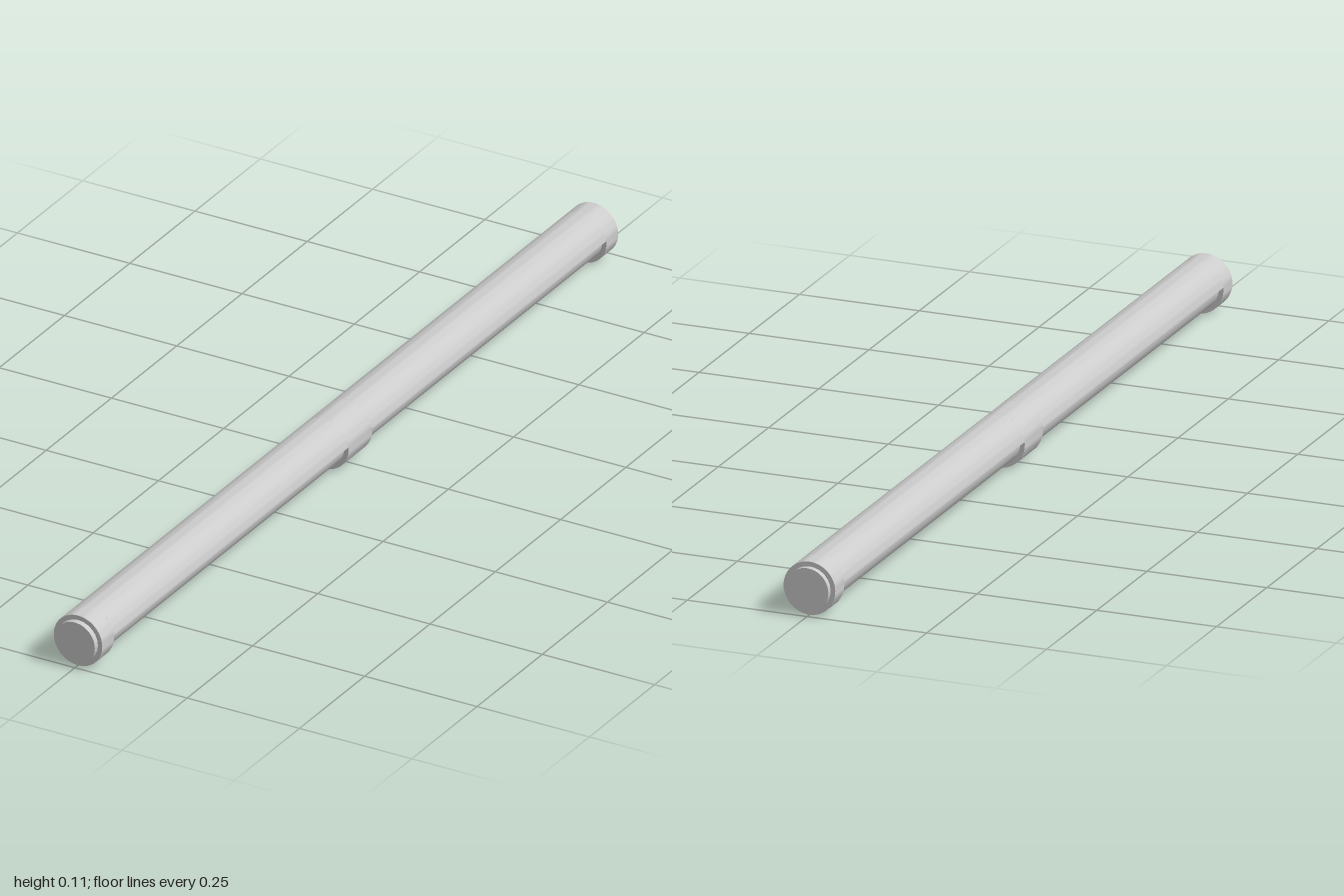
import * as THREE from 'three';
import { toCreasedNormals } from 'three/addons/utils/BufferGeometryUtils.js';

const R = 0.054;        // outer shell radius
const SHELL_IN = 0.049; // inner radius of the open shell
const TUBE = 0.0445;    // inner tube radius
const CY = 0.0545;      // height of the axis
const CUT = 0.005;      // cut edge above the axis

export function createModel() {
  const model = new THREE.Group();
  const material = new THREE.MeshStandardMaterial({ color: 0xcccccc });

  const add = (name, geometry, z) => {
    const mesh = new THREE.Mesh(geometry, material);
    mesh.name = name;
    mesh.position.set(0, CY, z);
    model.add(mesh);
  };
  const extrude = (shape, depth, curveSegments) => toCreasedNormals(
    new THREE.ExtrudeGeometry(shape, { depth, curveSegments, bevelEnabled: false }), 0.6);

  // Inner tube, protruding slightly at both ends
  const tube = new THREE.CylinderGeometry(TUBE, TUBE, 2, 24);
  tube.rotateX(Math.PI / 2);
  add('innerTube', tube, 0);

  // Full rings closing the shell at the ends and the middle
  const ring = new THREE.Shape().absarc(0, 0, R, 0, Math.PI * 2, false);
  ring.holes.push(new THREE.Path().absarc(0, 0, TUBE - 0.001, 0, Math.PI * 2, true));
  add('frontEndRing', extrude(ring, 0.045, 24), 0.943);
  add('middleRing', extrude(ring, 0.09, 24), -0.045);
  add('backEndRing', extrude(ring, 0.045, 24), -0.988);

  // Half shells covering the top, open below
  const a = Math.asin(CUT / R);
  const b = Math.asin(CUT / SHELL_IN);
  const half = new THREE.Shape();
  half.absarc(0, 0, R, a, Math.PI - a, false);
  half.absarc(0, 0, SHELL_IN, Math.PI - b, b, true);
  half.closePath();
  add('frontCover', extrude(half, 0.898, 12), 0.045);
  add('backCover', extrude(half, 0.898, 12), -0.943);

  return model;
}
